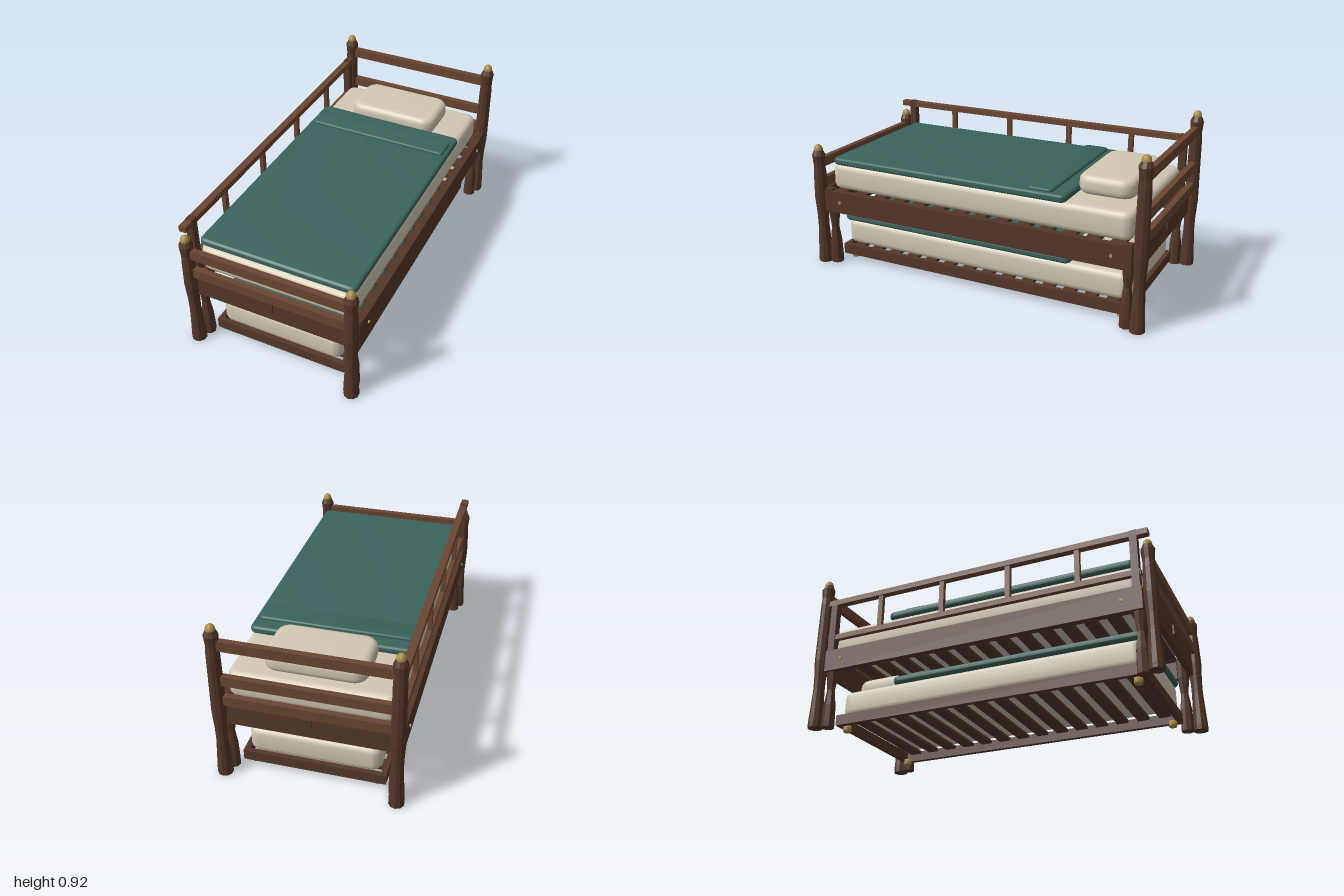
import * as THREE from 'three';
import { toCreasedNormals } from 'three/addons/utils/BufferGeometryUtils.js';

const mat = (color, flatShading = false) => {
  const m = new THREE.MeshStandardMaterial({ color });
  m.flatShading = flatShading;
  return m;
};

export function createModel() {
  const root = new THREE.Group();
  root.name = 'trundleBed';
  const darkWood = mat(0x553729, true), wood = mat(0x6b4631, true);
  const brass = mat(0xa88c48), linen = mat(0xd3c9b4), teal = mat(0x3a645d);

  const add = (parent, name, geo, material, x, y, z) => {
    const mesh = new THREE.Mesh(geo, material);
    mesh.name = name;
    mesh.position.set(x, y, z);
    parent.add(mesh);
    return mesh;
  };
  const group = (name) => {
    const g = new THREE.Group();
    g.name = name;
    root.add(g);
    return g;
  };
  // Box given by its lower and upper corner
  const box = (parent, name, material, x0, x1, y0, y1, z0, z1) =>
    add(parent, name, new THREE.BoxGeometry(x1 - x0, y1 - y0, z1 - z0), material,
      (x0 + x1) / 2, (y0 + y1) / 2, (z0 + z1) / 2);
  const turned = (parent, name, profile, material, x, y, z, sides = 8) => {
    const geo = new THREE.LatheGeometry(profile.map(p => new THREE.Vector2(...p)), sides);
    return add(parent, name, geo, material, x, y, z);
  };

  // Soft cushion: rounded rectangle in plan with bevelled top and bottom edges
  function cushion(parent, name, material, x, y0, y1, z0, z1, corner, bevel) {
    const h = y1 - y0, d = (z1 - z0) / 2 - bevel, w = x - bevel;
    const r = Math.max(corner - bevel, 0.006);
    const s = new THREE.Shape();
    s.moveTo(-w + r, -d);
    s.lineTo(w - r, -d);
    s.absarc(w - r, -d + r, r, -Math.PI / 2, 0);
    s.absarc(w - r, d - r, r, 0, Math.PI / 2);
    s.absarc(-w + r, d - r, r, Math.PI / 2, Math.PI);
    s.absarc(-w + r, -d + r, r, Math.PI, Math.PI * 1.5);
    const geo = new THREE.ExtrudeGeometry(s, {
      depth: h - 2 * bevel, bevelThickness: bevel, bevelSize: bevel,
      bevelSegments: 4, curveSegments: 5,
    });
    geo.translate(0, 0, -(h - 2 * bevel) / 2);
    geo.rotateX(-Math.PI / 2);
    add(parent, name, toCreasedNormals(geo, 0.7), material, 0, (y0 + y1) / 2, (z0 + z1) / 2);
  }

  // Turned corner posts with brass caps, tall at the head and short at the foot
  const post = group('cornerPosts');
  const finial = [[0.025, -0.005], [0.025, 0.006], [0.02, 0.02], [0.01, 0.029], [0, 0.031]];
  for (const [z, top] of [[-0.96, 0.89], [0.96, 0.68]]) {
    for (const x of [-0.455, 0.455]) {
      turned(post, 'cornerPost', [
        [0, 0], [0.041, 0], [0.041, 0.03], [0.035, 0.14], [0.031, 0.22], [0.032, 0.29],
        [0.039, 0.4], [0.035, top - 0.13], [0.032, top - 0.09], [0.038, top - 0.03],
        [0.024, top], [0, top],
      ], darkWood, x, 0, z, 10);
      turned(post, 'postCap', finial, brass, x, top, z, 10);
    }
  }

  // Inner legs and corner blocks that carry the side rails
  const legs = group('innerLegs');
  for (const x of [-1, 1]) for (const z of [-1, 1]) {
    turned(legs, 'innerLeg', [
      [0, 0], [0.036, 0], [0.036, 0.03], [0.033, 0.13], [0.021, 0.22], [0.033, 0.32],
      [0.033, 0.44], [0, 0.44],
    ], darkWood, x * 0.434, 0, z * 0.893);
    box(legs, 'cornerBlock', darkWood, x * 0.455 - 0.022, x * 0.455 + 0.022, 0.33, 0.46,
      z * 0.893 - 0.022, z * 0.893 + 0.022);
  }

  // Headboard and footboard
  for (const [name, s, rails] of [
    ['headboard', -1, [0.455, 0.575, 0.78]],
    ['footboard', 1, [0.455, 0.575]],
  ]) {
    const end = group(name);
    for (const y of rails) box(end, 'endRail', wood, -0.435, 0.435, y, y + 0.055, s * 0.96 - 0.016, s * 0.96 + 0.016);
    box(end, 'endPanel', darkWood, -0.425, 0.425, 0.325, 0.455, s * 0.94 - 0.014, s * 0.94 + 0.014);
    box(end, 'latchPlate', darkWood, -0.023, 0.023, 0.383, 0.438, s * 0.955 - 0.008, s * 0.955 + 0.008);
  }

  // Side rails with brass bolts, and the upper slats
  const frame = group('upperFrame');
  for (const s of [-1, 1]) {
    box(frame, 'sideRail', darkWood, s * 0.459 - 0.02, s * 0.459 + 0.02, 0.325, 0.45, -0.92, 0.92);
    for (const z of [-0.815, 0.815]) {
      const bolt = add(frame, 'railBolt', new THREE.CylinderGeometry(0.009, 0.009, 0.01, 8), brass, s * 0.481, 0.39, z);
      bolt.rotation.z = Math.PI / 2;
    }
  }
  for (let i = 0; i < 14; i++) {
    const z = -0.83 + i * 1.66 / 13;
    box(frame, 'upperSlat', darkWood, -0.44, 0.44, 0.43, 0.45, z - 0.035, z + 0.035);
  }

  // Guard rail on the right side
  const guard = group('guardRail');
  const gx = -0.455;
  for (const z of [-0.893, 0.893]) box(guard, 'guardPost', darkWood, gx - 0.02, gx + 0.02, 0.44, 0.775, z - 0.02, z + 0.02);
  for (const z of [-0.585, -0.195, 0.2, 0.59]) box(guard, 'guardBaluster', wood, gx - 0.012, gx + 0.012, 0.52, 0.745, z - 0.014, z + 0.014);
  box(guard, 'guardTopRail', wood, gx - 0.02, gx + 0.02, 0.74, 0.772, -0.93, 0.97);
  box(guard, 'guardLowerRail', wood, gx - 0.014, gx + 0.014, 0.52, 0.55, -0.92, 0.92);

  // Trundle frame on brass feet
  const trundle = group('trundle');
  for (const s of [-1, 1]) {
    box(trundle, 'trundleSide', darkWood, s * 0.368 - 0.014, s * 0.368 + 0.014, 0.03, 0.09, -0.88, 0.88);
    box(trundle, 'trundleEnd', darkWood, -0.356, 0.356, 0.031, 0.089, s * 0.868 - 0.014, s * 0.868 + 0.014);
    for (const z of [-0.835, 0.835]) {
      turned(trundle, 'trundleFoot', [[0, 0], [0.02, 0], [0.024, 0.01], [0.022, 0.035], [0, 0.035]],
        brass, s * 0.33, 0, z, 10);
    }
  }
  for (let i = 0; i < 14; i++) {
    const z = -0.79 + i * 1.58 / 13;
    box(trundle, 'trundleSlat', darkWood, -0.36, 0.36, 0.072, 0.089, z - 0.033, z + 0.033);
  }

  // Bedding for both levels: mattress, blanket, turned-over fold and pillow
  for (const [name, y, w, len, blanketW, foldW, h] of [
    ['upperBedding', 0.45, 0.432, 0.9, 0.438, 0.415, 0.15],
    ['lowerBedding', 0.09, 0.352, 0.872, 0.361, 0.335, 0.147],
  ]) {
    const bed = group(name), t = y + h;
    cushion(bed, 'mattress', linen, w, y, t, -len, len, 0.055, 0.034);
    cushion(bed, 'blanket', teal, blanketW, t - 0.004, t + 0.038, -0.547, 0.882, 0.035, 0.018);
    cushion(bed, 'blanketFold', teal, foldW, t + 0.025, t + 0.053, -0.465, -0.322, 0.025, 0.012);
    cushion(bed, 'pillow', linen, 0.266, t - 0.004, t + 0.1, -0.842, -0.533, 0.075, 0.036);
  }
  return root;
}
